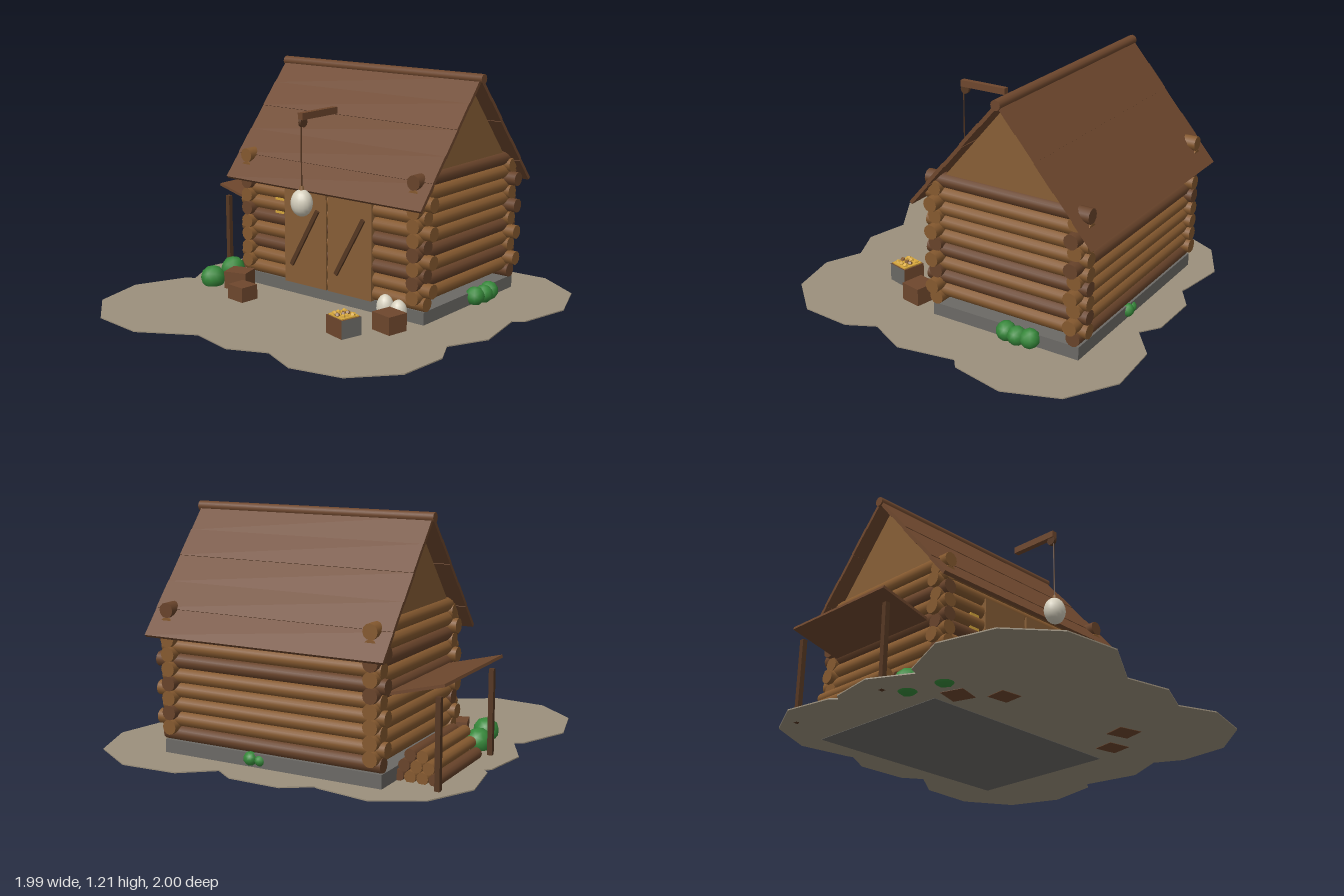
import * as THREE from 'three';

const mat = (name, color) => {
  const m = new THREE.MeshStandardMaterial({ color });
  m.name = name;
  return m;
};

export function createModel() {
  const root = new THREE.Group();
  root.name = 'logCabin';
  const M = {
    earth: mat('earth', 0x9c907c),
    stone: mat('stone', 0x6b6965),
    log: mat('log brown', 0x85592f),
    darkLog: mat('dark log brown', 0x68432a),
    plank: mat('plank brown', 0x875e36),
    roof: mat('roof brown', 0x6e472d),
    beam: mat('beam brown', 0x553722),
    leaf: mat('leaf green', 0x36883a),
    cloth: mat('sack cloth', 0xd6d0be),
    gold: mat('gold', 0xd8a83c),
  };

  const group = (name, parent = root) => {
    const g = new THREE.Group();
    g.name = name;
    parent.add(g);
    return g;
  };
  const add = (name, geo, material, x, y, z, parent = root) => {
    const m = new THREE.Mesh(geo, material);
    m.name = name;
    m.position.set(x, y, z);
    parent.add(m);
    return m;
  };
  const box = (name, w, h, d, material, x, y, z, parent) =>
    add(name, new THREE.BoxGeometry(w, h, d), material, x, y, z, parent);
  // Round bar lying along x or z
  const bar = (name, axis, r, len, material, x, y, z, parent) => {
    const geo = new THREE.CylinderGeometry(r, r, len, 12);
    if (axis === 'x') geo.rotateZ(Math.PI / 2);
    else geo.rotateX(Math.PI / 2);
    return add(name, geo, material, x, y, z, parent);
  };

  // Ground patch
  const outline = [
    [-0.94, -0.55], [-0.82, -0.78], [-0.59, -0.9], [-0.33, -0.86], [-0.3, -0.85], [-0.17, -0.935],
    [0.1, -0.93], [0.2, -0.86], [0.36, -0.985], [0.65, -1], [0.89, -0.85], [0.99, -0.585],
    [0.93, -0.31], [0.88, -0.27], [0.93, 0.02], [0.83, 0.22], [0.9, 0.36], [0.88, 0.62],
    [0.7, 0.82], [0.44, 0.88], [0.25, 0.8], [0.06, 0.885], [-0.17, 0.835], [-0.44, 0.995],
    [-0.72, 0.965], [-0.93, 0.78], [-0.995, 0.5], [-0.88, 0.23], [-0.835, 0.21], [-0.94, 0],
    [-0.9, -0.24], [-0.87, -0.27], [-0.9, -0.3],
  ];
  const patch = new THREE.Shape(outline.map(([x, z]) => new THREE.Vector2(x, -z)));
  const patchGeo = new THREE.ExtrudeGeometry(patch, { depth: 0.006, bevelEnabled: false });
  patchGeo.rotateX(-Math.PI / 2);
  add('ground', patchGeo, M.earth, 0, 0.03, 0);

  // Stone base
  const midZ = -0.34;
  box('foundation', 1.17, 0.074, 0.81, M.stone, 0, 0.065, -0.345);

  // Stacked log walls, side logs half a course higher
  const walls = group('logWalls');
  const logColor = (i, s) => ((i * 3 + s * 2) % 7 < 2 ? M.darkLog : M.log);
  for (let i = 0; i < 9; i++) {
    const y = 0.137 + i * 0.071;
    for (const s of [0, 1]) {
      const long = i % 2 === 1;
      bar(s ? 'frontLog' : 'backLog', 'x', 0.037, long ? 1.225 : 1.17, logColor(i, s),
        long ? 0.012 : 0.005, y, s ? 0.04 : -0.72, walls);
      bar(s ? 'leftLog' : 'rightLog', 'z', 0.037, 0.88, logColor(i + 1, s),
        s ? 0.54 : -0.54, y + 0.0355, midZ, walls);
    }
  }

  // Triangular gables
  const tri = new THREE.Shape([[-0.345, 0.76], [0.345, 0.76], [0, 1.168]].map((p) => new THREE.Vector2(...p)));
  for (const s of [-1, 1]) {
    const geo = new THREE.ExtrudeGeometry(tri, { depth: 0.03, bevelEnabled: false });
    geo.translate(0, 0, -0.015).rotateY(Math.PI / 2);
    add('gable', geo, M.plank, s * 0.54, 0, midZ);
  }

  // Roof slopes made of long boards, plus a round ridge
  const roof = group('roof');
  const pitch = Math.atan2(0.575, 0.49);
  for (const s of [-1, 1]) {
    const slope = group(s > 0 ? 'frontSlope' : 'backSlope', roof);
    slope.position.set(-0.003, 1.195, midZ);
    slope.rotation.y = s > 0 ? 0 : Math.PI;
    const tilt = group('boards', slope);
    tilt.rotation.x = pitch;
    for (let i = 0; i < 5; i++) {
      box('roofBoard', 1.256, 0.018, 0.151, M.roof, 0, i % 2 ? 0.003 : 0, 0.076 + i * 0.151, tilt);
    }
  }
  bar('ridgePole', 'x', 0.025, 1.28, M.roof, 0, 1.195, midZ, roof);

  // Double doors with diagonal braces
  const doors = group('doors');
  for (const s of [-1, 1]) {
    box('doorLeaf', 0.277, 0.53, 0.04, M.plank, s * 0.1455 - 0.002, 0.365, 0.063, doors);
    const brace = box('doorBrace', 0.022, 0.355, 0.015, M.beam, s * 0.147, 0.355, 0.088, doors);
    brace.rotation.z = -Math.atan2(0.175, 0.31);
  }
  // Lit slot between the logs
  box('lampPlate', 0.058, 0.1, 0.008, M.gold, -0.34, 0.49, 0.058);

  // Hoist with hanging sack
  const hoist = group('hoist');
  box('hoistBeam', 0.03, 0.034, 0.265, M.roof, 0, 1.025, 0.152, hoist);
  bar('pulley', 'x', 0.025, 0.016, M.beam, 0, 0.995, 0.265, hoist);
  add('rope', new THREE.CylinderGeometry(0.0035, 0.0035, 0.32, 6), M.beam, 0, 0.83, 0.277, hoist);
  const sack = (x, y, z, rx, ry, rz, parent) => {
    const m = add('sack', new THREE.SphereGeometry(1, 16, 12), M.cloth, x, y, z, parent);
    m.scale.set(rx, ry, rz);
  };
  sack(0, 0.597, 0.277, 0.058, 0.068, 0.052, hoist);
  add('sackTie', new THREE.CylinderGeometry(0.008, 0.015, 0.025, 8), M.plank, 0, 0.67, 0.277, hoist);

  // Lean-to shelter with firewood
  const shed = group('leanTo');
  const shedRoof = box('leanToRoof', 0.285, 0.014, 0.67, M.roof, -0.713, 0.486, -0.35, shed);
  shedRoof.rotation.z = -Math.atan2(0.07, 0.275);
  for (const z of [-0.65, -0.04]) box('leanToPost', 0.025, 0.43, 0.025, M.beam, -0.81, 0.245, z, shed);
  for (let row = 0; row < 3; row++) {
    for (let i = 0; i < 4 - row; i++) {
      bar('firewood', 'z', 0.029, 0.48, (row + i) % 3 ? M.log : M.darkLog,
        -0.77 + row * 0.03 + i * 0.06, 0.06 + row * 0.051, -0.36, shed);
    }
  }

  // Crates: x, z, width, height, turn
  const crates = group('crates');
  const crate = (x, z, w, h, turn, side = M.roof) => {
    const m = M.roof;
    const c = group('crate', crates);
    c.position.set(x, 0.028, z);
    c.rotation.y = turn;
    box('crateBody', w, h, w * 0.92, [side, m, m, m, m, m], 0, h / 2, 0, c);
    return c;
  };
  crate(-0.54, 0.165, 0.125, 0.1, 0.3);
  crate(-0.385, 0.305, 0.112, 0.085, -0.1);
  crate(0.495, 0.215, 0.122, 0.098, -0.2);
  const full = crate(0.36, 0.395, 0.125, 0.1, -0.26, M.stone);
  box('goldFill', 0.11, 0.008, 0.1, M.gold, 0, 0.102, 0, full);
  for (let i = 0; i < 9; i++) {
    const nugget = add('nugget', new THREE.DodecahedronGeometry(0.014), i % 3 === 1 ? M.plank : M.gold,
      ((i % 3) - 1) * 0.034, 0.107, (Math.floor(i / 3) - 1) * 0.03 + (i % 2) * 0.006, full);
    nugget.rotation.set(i, i * 2, 0);
  }

  // Sacks standing by the wall
  const sacks = group('sacks');
  sack(0.39, 0.1, 0.11, 0.045, 0.067, 0.043, sacks);
  sack(0.47, 0.095, 0.11, 0.043, 0.06, 0.043, sacks);

  // Faceted bushes: x, y, z, radius
  const bushes = group('bushes');
  for (const [x, y, z, r] of [
    [-0.68, 0.075, 0.225, 0.066], [-0.72, 0.075, 0.03, 0.066],
    [0.6, 0.082, -0.37, 0.05], [0.61, 0.08, -0.435, 0.048], [0.6, 0.08, -0.5, 0.05],
    [0.1, 0.075, -0.745, 0.035], [0.05, 0.07, -0.74, 0.028],
  ]) {
    const geo = new THREE.IcosahedronGeometry(r, 1);
    add('bush', geo, M.leaf, x, y, z, bushes).rotation.y = x * 7 + z * 3;
  }

  return root;
}
